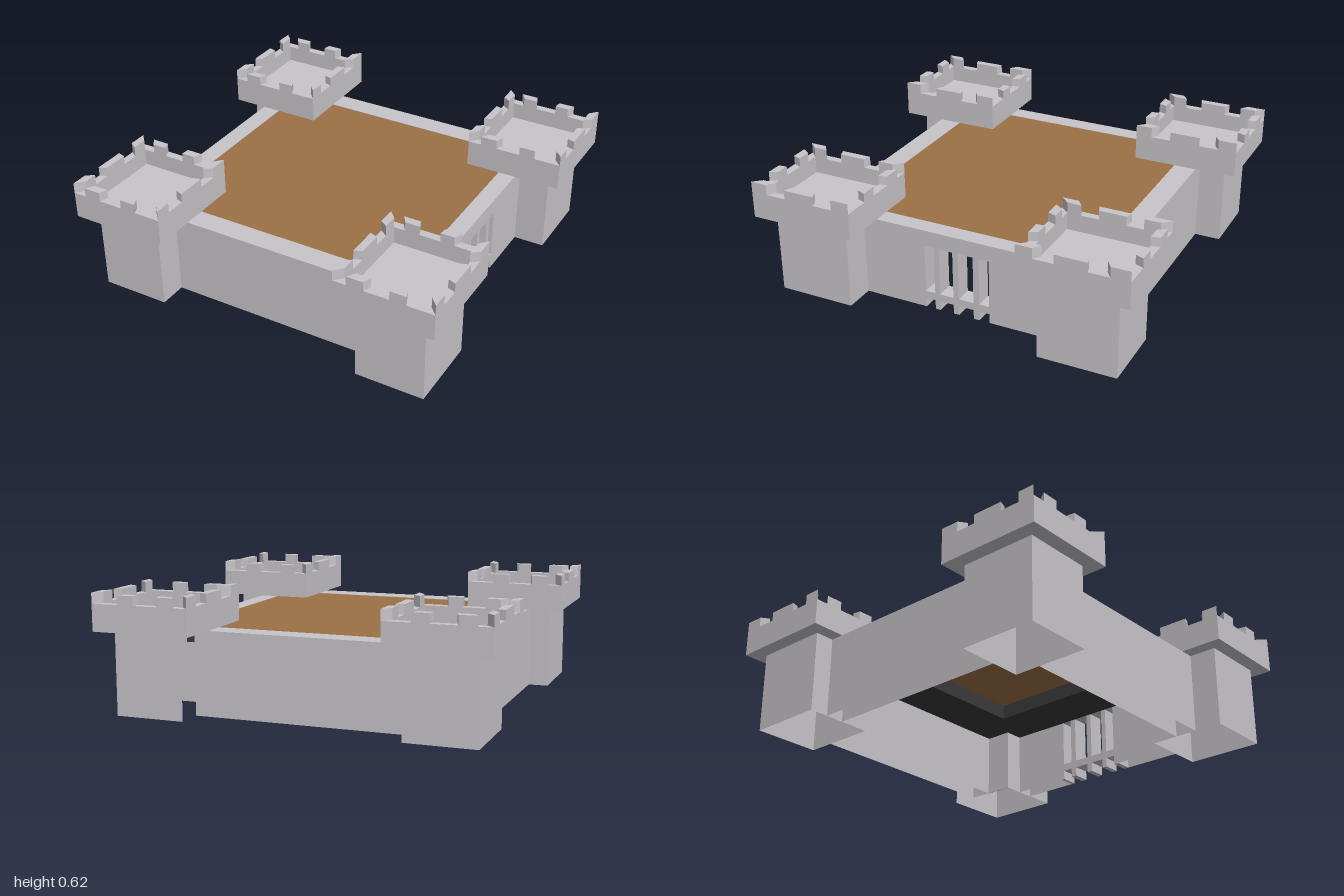
import * as THREE from 'three';

const stone = new THREE.MeshStandardMaterial({ color: 0xc8c5ca, side: THREE.DoubleSide });
stone.name = 'stone';
const earth = new THREE.MeshStandardMaterial({ color: 0x9c7146, side: THREE.DoubleSide });
earth.name = 'earth';
const shade = new THREE.MeshStandardMaterial({ color: 0x3a3a3a });
shade.name = 'darkUnderside';

const WALL_TOP = 0.43, DECK = 0.48, RIM = 0.568, CREST = 0.622;
const INNER = 0.843; // inner outline of the parapet relative to the outer one

function add(parent, name, geo, mat) {
  const mesh = new THREE.Mesh(geo, mat);
  mesh.name = name;
  parent.add(mesh);
  return mesh;
}

// Box given by its min and max on each axis
function block(parent, name, mat, [x0, x1], [y0, y1], [z0, z1]) {
  const mesh = add(parent, name, new THREE.BoxGeometry(x1 - x0, y1 - y0, z1 - z0), mat);
  mesh.position.set((x0 + x1) / 2, (y0 + y1) / 2, (z0 + z1) / 2);
  return mesh;
}

// Hollow masonry from the ground to the wall top, without the open faces
// (0 to 5 are +x, -x, +y, -y, +z, -z)
function shell(parent, name, xs, zs, open = [3]) {
  const geo = block(parent, name, stone, xs, [0, WALL_TOP], zs).geometry;
  geo.setIndex(Array.from(geo.index.array).filter((v, i) => !open.includes(Math.floor(i / 6))));
  geo.clearGroups();
}

// Piece of a parapet: outer edge from a to b, sides pointing at the tower's centre
function ringPiece(parent, name, a, b, y0, y1) {
  const corners = [a, b, b.map(v => v * INNER), a.map(v => v * INNER)];
  const shape = new THREE.Shape(corners.map(([x, z]) => new THREE.Vector2(x, -z)));
  const geo = new THREE.ExtrudeGeometry(shape, { depth: y1 - y0, bevelEnabled: false });
  geo.rotateX(-Math.PI / 2);
  add(parent, name, geo, stone).position.y = y0;
}

// Corner tower: shaft, overhanging platform, parapet and merlons
function tower(sx, sz) {
  const g = new THREE.Group();
  g.name = (sz > 0 ? 'front' : 'back') + (sx > 0 ? 'Left' : 'Right') + 'Tower';
  const span = (s, a, b) => (s > 0 ? [a, b] : [-b, -a]);
  const breached = sx > 0 && sz < 0; // this shaft is open beside the back wall
  shell(g, 'shaft', span(sx, 0.56, 0.923), span(sz, 0.516, 0.923), breached ? [1, 3] : [3]);
  if (breached) block(g, 'shaftReturn', stone, [0.56, 0.564], [0, WALL_TOP], [-0.665, -0.516]);

  const top = new THREE.Group();
  top.name = 'battlement';
  const hx = 0.258, hz = 0.28;
  top.position.set(sx * (1 - hx), 0, sz * (1 - hz));
  g.add(top);
  block(top, 'platform', stone, [-hx, hx], [WALL_TOP, DECK], [-hz, hz]);
  for (const s of [-1, 1]) {
    // Sides running along z
    ringPiece(top, 'parapet', [s * hx, -hz], [s * hx, hz], DECK, RIM);
    for (const [m, n, y] of [[0, 0.098, CREST], [0.203, 0.367, CREST - 0.007], [0.473, 2 * hz, CREST]])
      ringPiece(top, 'merlon', [s * hx, m - hz], [s * hx, n - hz], RIM, y);
    // Sides running along x
    ringPiece(top, 'parapet', [-hx, s * hz], [hx, s * hz], DECK, RIM);
    for (const [m, n] of [[0.07, 0.16], [0.29, 0.375]])
      ringPiece(top, 'merlon', [m - hx, s * hz], [n - hx, s * hz], RIM, CREST - 0.007);
  }
  return g;
}

// Rectangle as a closed path
function rectangle(path, [x0, x1], [y0, y1]) {
  path.moveTo(x0, y0);
  path.lineTo(x1, y0);
  path.lineTo(x1, y1);
  path.lineTo(x0, y1);
  path.closePath();
  return path;
}

// Barred gate: tall openings above, notches at the ground
function gate(parent, x, depth, half) {
  const slots = [[-0.182, -0.127], [-0.095, -0.013], [0.017, 0.092], [0.12, 0.172]];
  const shape = new THREE.Shape();
  shape.moveTo(-half, 0);
  for (const [a, b] of slots) {
    shape.lineTo(a, 0);
    shape.lineTo(a, 0.05);
    shape.lineTo(b, 0.05);
    shape.lineTo(b, 0);
    shape.holes.push(rectangle(new THREE.Path(), [a, b], [0.09, 0.345]));
  }
  shape.lineTo(half, 0);
  shape.lineTo(half, WALL_TOP);
  shape.lineTo(-half, WALL_TOP);
  shape.closePath();
  const geo = new THREE.ExtrudeGeometry(shape, { depth, bevelEnabled: false });
  geo.rotateY(-Math.PI / 2);
  add(parent, 'gate', geo, stone).position.x = x;
}

// Earth courtyard carried by a dark frame with an opening in the middle
function courtyard(parent, [x0, x1], [z0, z1]) {
  const level = WALL_TOP - 0.002, under = 0.345;
  const ground = new THREE.PlaneGeometry(x1 - x0, z1 - z0).rotateX(-Math.PI / 2);
  add(parent, 'courtyard', ground, earth).position.set((x0 + x1) / 2, level, (z0 + z1) / 2);

  const shape = rectangle(new THREE.Shape(), [x0, x1], [-z1, -z0]);
  shape.holes.push(rectangle(new THREE.Path(), [-0.44, 0.39], [-0.4, 0.4]));
  const frame = new THREE.ExtrudeGeometry(shape, { depth: level - 0.003 - under, bevelEnabled: false });
  frame.rotateX(-Math.PI / 2);
  add(parent, 'courtyardFrame', frame, shade).position.y = under;
}

export function createModel() {
  const model = new THREE.Group();
  model.name = 'fort';

  for (const sx of [-1, 1]) for (const sz of [-1, 1]) model.add(tower(sx, sz));

  // Curtain walls
  shell(model, 'frontWall', [-0.56, 0.56], [0.657, 0.775]);
  shell(model, 'backWall', [-0.56, 0.56], [-0.785, -0.665]);
  shell(model, 'rightWall', [-0.82, -0.72], [-0.516, 0.516]);
  shell(model, 'leftWallFront', [0.667, 0.76], [0.2, 0.516]);
  shell(model, 'leftWallBack', [0.667, 0.76], [-0.516, -0.2]);
  gate(model, 0.76, 0.093, 0.2);

  courtyard(model, [-0.72, 0.667], [-0.665, 0.657]);

  return model;
}
